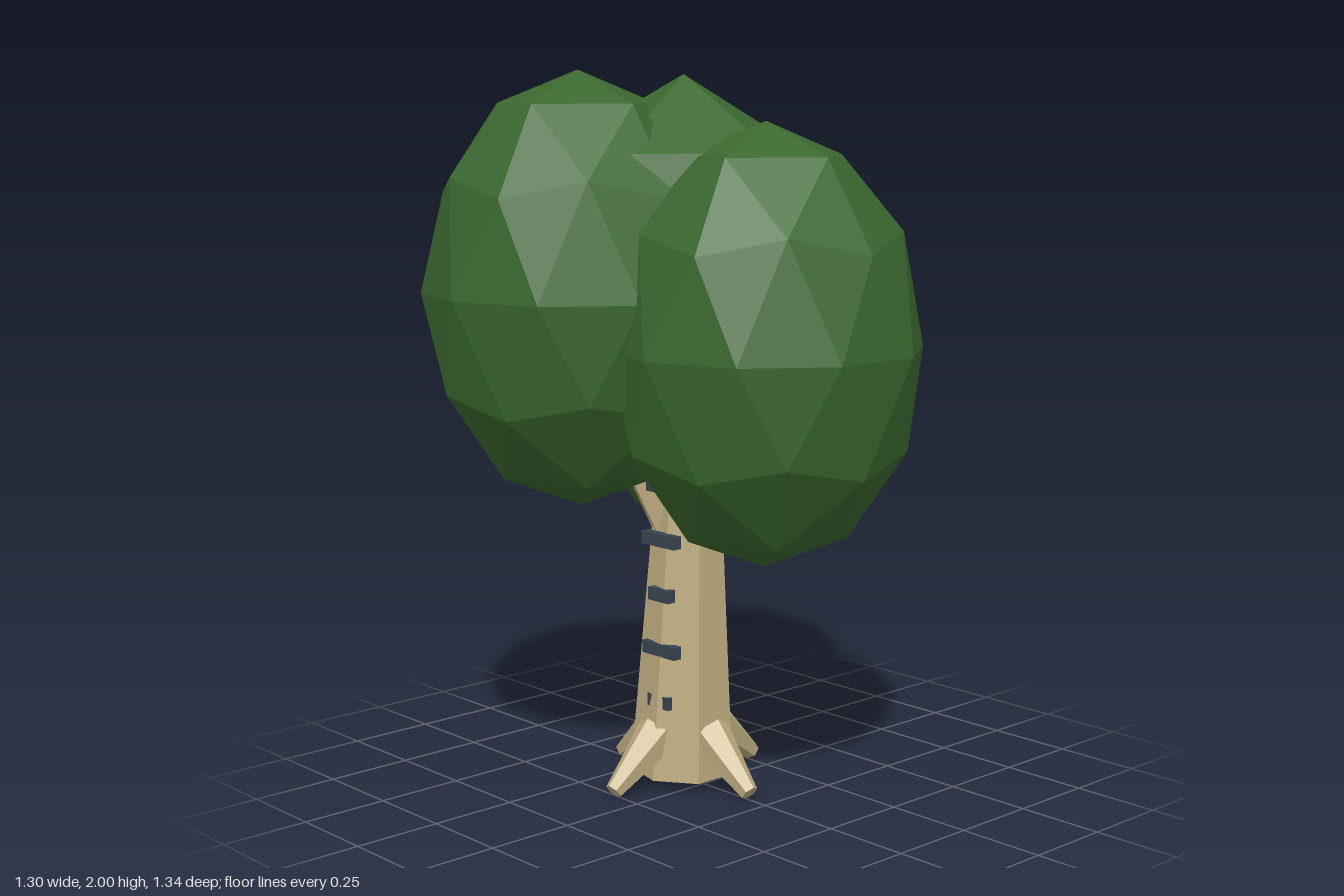
import * as THREE from 'three';

const material = (name, color) => {
  const m = new THREE.MeshStandardMaterial({ color, flatShading: true });
  m.name = name;
  return m;
};

export function createModel() {
  const leafGreen = material('leafGreen', 0x3b682f);
  const bark = material('bark', 0xc2b083);
  const slate = material('slate', 0x37454f);
  const tree = new THREE.Group();
  tree.name = 'tree';

  const add = (parent, name, geometry, mat) => {
    const mesh = new THREE.Mesh(geometry, mat);
    mesh.name = name;
    parent.add(mesh);
    return mesh;
  };

  // Tapered limb running from point a to point b
  const limb = (parent, name, a, b, rA, rB, sides, start = 0) => {
    const from = new THREE.Vector3(...a), to = new THREE.Vector3(...b);
    const dir = to.clone().sub(from);
    const mesh = add(parent, name,
      new THREE.CylinderGeometry(rB, rA, dir.length(), sides, 1, false, start), bark);
    mesh.position.copy(from).add(to).multiplyScalar(0.5);
    mesh.quaternion.setFromUnitVectors(new THREE.Vector3(0, 1, 0), dir.normalize());
    return mesh;
  };

  // Foliage: stretched icospheres with one corner pointing straight up
  const poleTilt = -Math.atan(2 / (1 + Math.sqrt(5)));
  const foliage = (name, x, y, z, rx, ry, detail) => {
    const geometry = new THREE.IcosahedronGeometry(1, detail);
    geometry.rotateZ(poleTilt).scale(rx, ry, rx);
    add(tree, name, geometry, leafGreen).position.set(x, y, z);
  };
  foliage('frontFoliage', -0.24, 1.405, 0.24, 0.431, 0.597, 1);
  foliage('backFoliage', -0.24, 1.272, -0.24, 0.431, 0.597, 1);
  foliage('leftFoliage', 0.24, 1.272, 0, 0.429, 0.597, 1);
  foliage('topFoliage', -0.08, 1.62, 0, 0.36, 0.37, 0);
  tree.getObjectByName('topFoliage').scale.set(1.11, 1, 1.11);

  // Seven-sided trunk with a slight lean
  limb(tree, 'trunk', [-0.085, 0.032, 0], [-0.053, 1.0, 0], 0.15, 0.086, 7, -Math.PI / 2);

  // Branches reaching into the foliage
  const fork = [-0.06, 0.65, 0];
  limb(tree, 'frontBranch', fork, [-0.24, 1.2, 0.2], 0.065, 0.04, 6);
  limb(tree, 'backBranch', fork, [-0.24, 1.2, -0.2], 0.065, 0.04, 6);
  limb(tree, 'leftBranch', fork, [0.22, 1.2, 0], 0.065, 0.04, 6);

  // Four roots around the base
  for (let i = 0; i < 4; i++) {
    const root = new THREE.Group();
    root.name = `root${i + 1}`;
    root.position.x = -0.08;
    root.rotation.y = i * Math.PI / 2;
    limb(root, 'rootLimb', [0, 0.155, 0.1], [0, 0.021, 0.268], 0.064, 0.025, 6);
    tree.add(root);
  }

  // Climbing rungs on the front: centre x, centre y, width
  [[-0.058, 0.255, 0.085], [-0.055, 0.405, 0.132], [-0.055, 0.562, 0.082],
    [-0.055, 0.718, 0.132], [-0.06, 0.87, 0.082]].forEach(([x, y, w], i) => {
    add(tree, `rung${i + 1}`, new THREE.BoxGeometry(w, 0.036, 0.028), slate)
      .position.set(x, y, 0.109);
  });

  return tree;
}
